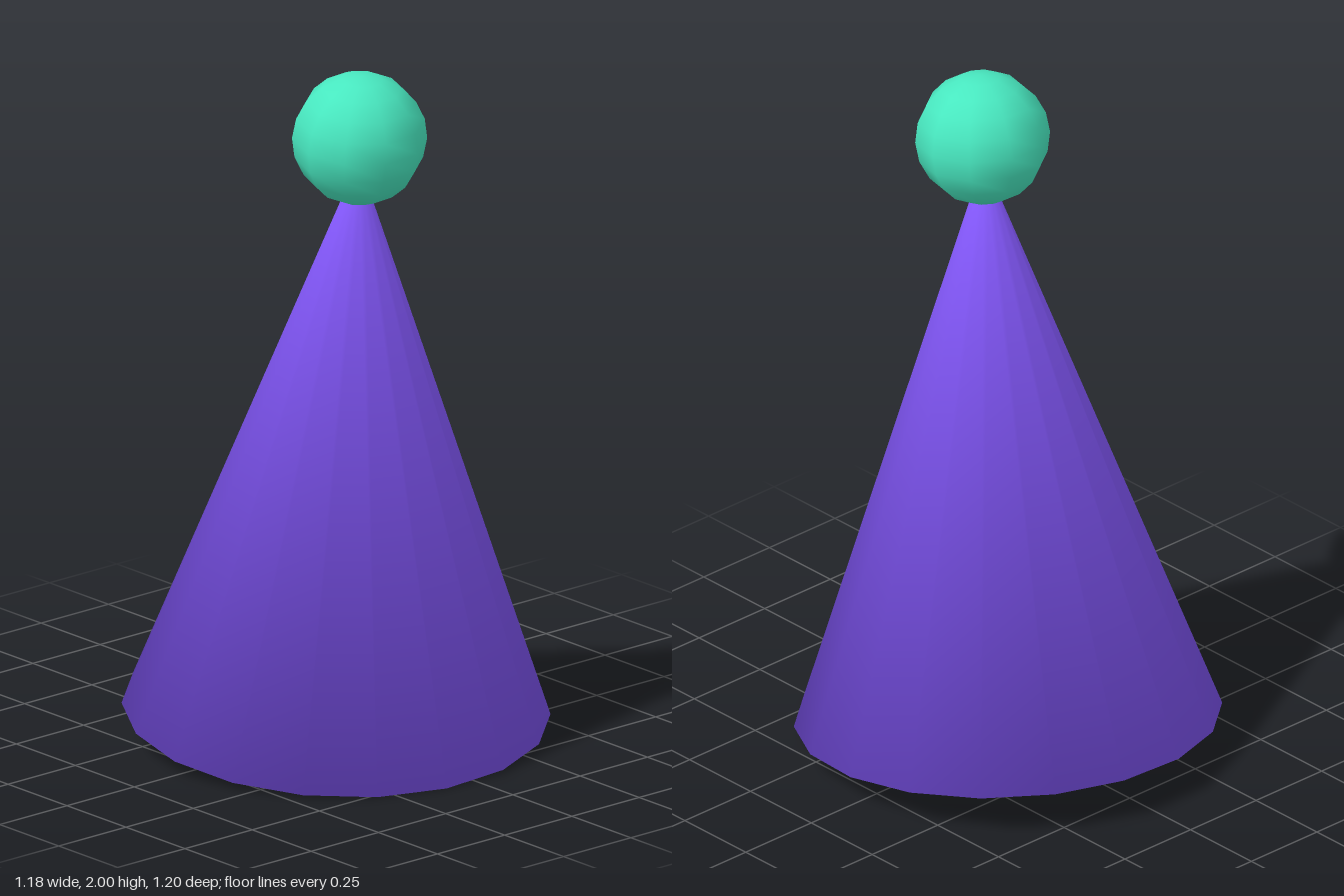
import * as THREE from 'three';

const SIDES = 18;
const BASE_RADIUS = 0.6, TOP_RADIUS = 0.04, HEIGHT = 1.575;
const BALL_RADIUS = 0.19, BALL_DISTANCE = 1.754;

// Closed frustum with shared, smoothed normals across both rims
function coneGeometry() {
  const rings = [
    { r: BASE_RADIUS, y: 0, out: 0.85, up: -0.52 },
    { r: TOP_RADIUS, y: HEIGHT, out: 0.75, up: 0.66 },
  ];
  const position = [], normal = [], index = [];
  for (const { r, y, out, up } of rings) {
    for (let i = 0; i < SIDES; i++) {
      const a = (i / SIDES) * Math.PI * 2;
      position.push(r * Math.sin(a), y, r * Math.cos(a));
      normal.push(out * Math.sin(a), up, out * Math.cos(a));
    }
  }
  // Side wall
  for (let i = 0; i < SIDES; i++) {
    const j = (i + 1) % SIDES;
    index.push(i, j, SIDES + j, i, SIDES + j, SIDES + i);
  }
  // Bottom and top caps
  for (let i = 1; i < SIDES - 1; i++) {
    index.push(0, i + 1, i);
    index.push(SIDES, SIDES + i, SIDES + i + 1);
  }
  const geometry = new THREE.BufferGeometry();
  geometry.setAttribute('position', new THREE.Float32BufferAttribute(position, 3));
  geometry.setAttribute('normal', new THREE.Float32BufferAttribute(normal, 3));
  geometry.setIndex(index);
  return geometry;
}

export function createModel() {
  const model = new THREE.Group();
  model.name = 'partyHat';

  // The whole hat leans to its left and slightly forward
  const hat = new THREE.Group();
  hat.name = 'tiltedHat';
  const axis = new THREE.Vector3(0.103, 1, 0.04).normalize();
  hat.quaternion.setFromUnitVectors(new THREE.Vector3(0, 1, 0), axis);
  hat.position.y = 0.066;
  model.add(hat);

  // Cone
  const cone = new THREE.Mesh(coneGeometry(), new THREE.MeshStandardMaterial({ color: 0x8055f5 }));
  cone.name = 'cone';
  hat.add(cone);

  // Ball on the tip
  const ballGeometry = new THREE.SphereGeometry(BALL_RADIUS, 10, 10).rotateY(Math.PI / 2);
  const ball = new THREE.Mesh(ballGeometry, new THREE.MeshStandardMaterial({ color: 0x48e8c0 }));
  ball.name = 'pompom';
  ball.position.y = BALL_DISTANCE;
  hat.add(ball);

  return model;
}
